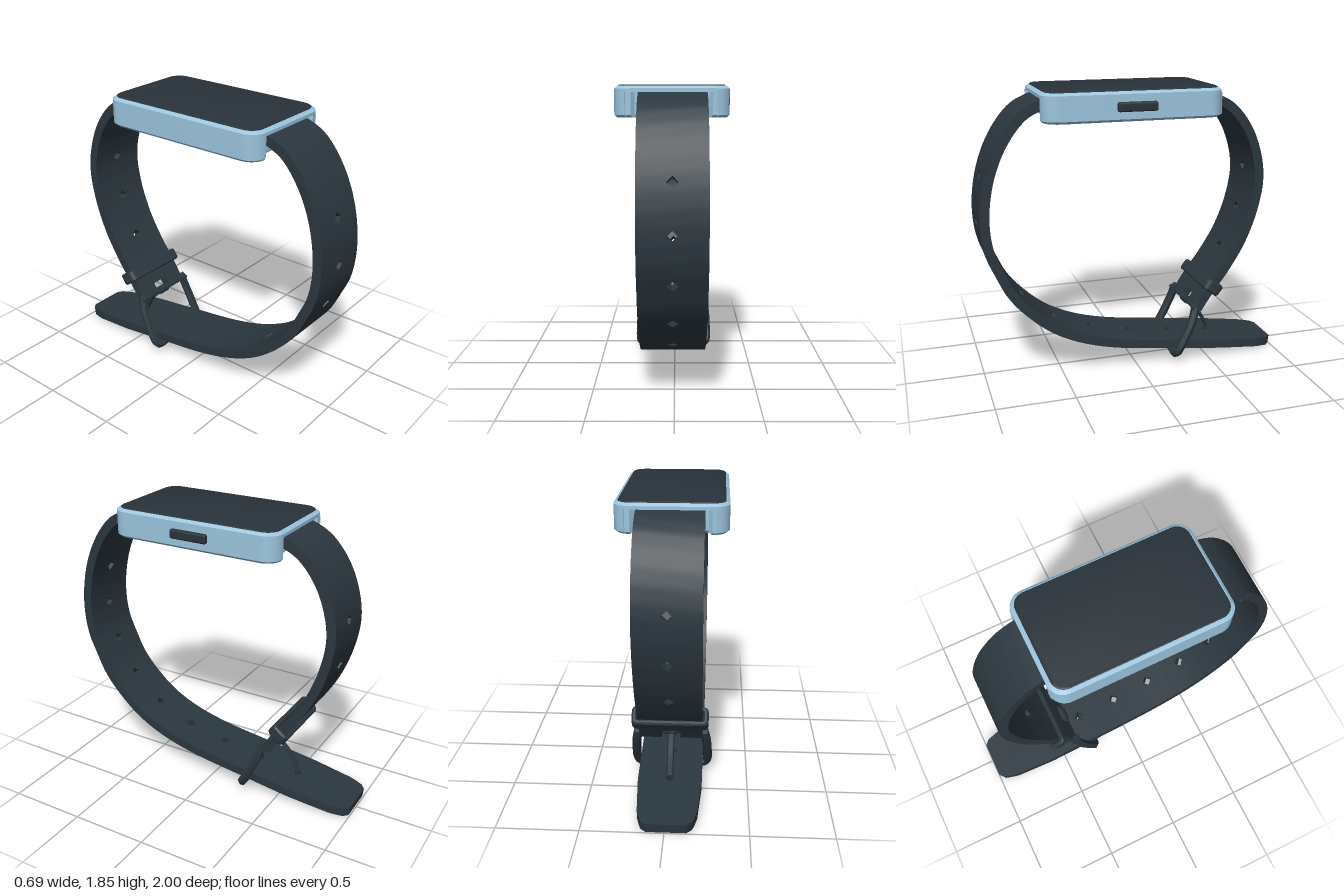
import * as THREE from 'three';
import { mergeGeometries, toCreasedNormals } from 'three/addons/utils/BufferGeometryUtils.js';
import { RoundedBoxGeometry } from 'three/addons/geometries/RoundedBoxGeometry.js';

const CX = -0.01;        // centre line of the strap
const THICK = 0.06;      // strap thickness
const caseMat = new THREE.MeshStandardMaterial({ color: 0x9cc5de });
const strapMat = new THREE.MeshStandardMaterial({ color: 0x2b373f, side: THREE.DoubleSide });
const screenMat = new THREE.MeshStandardMaterial({ color: 0x29323a });

function mesh(name, geometry, material) {
  const m = new THREE.Mesh(geometry, material);
  m.name = name;
  return m;
}

// Rounded rectangle; optional notch cut into both short ends for the strap
function roundedRect(w, h, r, notch = 0) {
  const s = new THREE.Shape(), x = w / 2, y = h / 2, H = Math.PI / 2;
  s.absarc(x - r, -y + r, r, -H, 0);
  s.absarc(x - r, y - r, r, 0, H);
  if (notch) [[0.27, y], [0.215, y - notch], [-0.215, y - notch], [-0.27, y]].forEach(p => s.lineTo(...p));
  s.absarc(-x + r, y - r, r, H, 2 * H);
  s.absarc(-x + r, -y + r, r, 2 * H, 3 * H);
  if (notch) [[-0.27, -y], [-0.215, -y + notch], [0.215, -y + notch], [0.27, -y]].forEach(p => s.lineTo(...p));
  s.closePath();
  return s;
}

// Stack a plan shape through height levels, drawing in the sides at each level
function stacked(shape, levels, insets, hw, hh) {
  const steps = levels.length - 1;
  const g = new THREE.ExtrudeGeometry(shape, { depth: steps, steps, bevelEnabled: false, curveSegments: 4 });
  const p = g.attributes.position;
  for (let i = 0; i < p.count; i++) {
    const k = Math.round(p.getZ(i));
    p.setXYZ(i, p.getX(i) * (1 - insets[k] / hw), levels[k], -p.getY(i) * (1 - insets[k] / hh));
  }
  return toCreasedNormals(g, 0.6);
}

// Strap centre line given as [z, y] pairs
const pathOf = pts => new THREE.CatmullRomCurve3(pts.map(([z, y]) => new THREE.Vector3(CX, y, z)), false, 'centripetal');

// Local frame on a path: x across, y along, z through the strap
function frameAt(path, u) {
  const t = path.getTangentAt(u), x = new THREE.Vector3(1, 0, 0);
  return new THREE.Matrix4().makeBasis(x, t, new THREE.Vector3().crossVectors(x, t)).setPosition(path.getPointAt(u));
}

// Strap made of short plates bent along the path; some carry a hole, the last may be forked
function strap(path, count, holes, halfWidth, forked) {
  const length = path.getLength(), step = length / count, plates = [];
  for (let i = 0; i < count; i++) {
    const right = [0, 0.35, 0.7, 1].map(f => {
      const u = (i + f) / count;
      return new THREE.Vector2(halfWidth(u), u * length);
    });
    const left = right.map(p => new THREE.Vector2(-p.x, p.y)).reverse();
    const end = (i + 1) * step, fork = [];
    if (forked && i === count - 1) {
      for (const [x, d] of [[0.06, 0], [0.06, 0.08], [-0.06, 0.08], [-0.06, 0]]) fork.push(new THREE.Vector2(x, end - d));
    }
    const shape = new THREE.Shape([...right, ...fork, ...left]);
    if (holes.includes(i)) {
      const c = (i + 0.5) * step, r = 0.034;
      shape.holes.push(new THREE.Path([[r, 0], [0, -r], [-r, 0], [0, r]].map(([x, y]) => new THREE.Vector2(x, c + y))));
    }
    plates.push(new THREE.ExtrudeGeometry(shape, { depth: THICK, bevelEnabled: false }));
  }
  const g = mergeGeometries(plates), p = g.attributes.position, v = new THREE.Vector3();
  for (let i = 0; i < p.count; i++) {
    const u = THREE.MathUtils.clamp(p.getY(i) / length, 0, 1);
    v.set(p.getX(i), 0, p.getZ(i) - THICK / 2).applyMatrix4(frameAt(path, u));
    p.setXYZ(i, v.x, v.y, v.z);
  }
  return toCreasedNormals(g, 0.6);
}

// Width of the long strap, narrowing to a blunt tip
function tipWidth(u) {
  const k = [[0, 0.2], [0.88, 0.2], [0.965, 0.18], [0.991, 0.155], [1, 0.12]];
  const i = Math.max(1, k.findIndex(e => u <= e[0] + 1e-6));
  return THREE.MathUtils.mapLinear(u, k[i - 1][0], k[i][0], k[i - 1][1], k[i][1]);
}

export function createModel() {
  const model = new THREE.Group();
  model.name = 'wristwatch';

  // Case: notched lower body, closed upper rim, screen and side button
  const body = new THREE.Group();
  body.name = 'case';
  body.position.set(-0.015, 0, 0.05);
  const W = 0.67, L = 1.14;
  body.add(mesh('caseLower', stacked(roundedRect(W, L, 0.1, 0.06), [1.67, 1.685, 1.815], [0.015, 0, 0], W / 2, L / 2), caseMat));
  body.add(mesh('caseRim', stacked(roundedRect(W, L, 0.1), [1.815, 1.835, 1.85], [0, 0, 0.018], W / 2, L / 2), caseMat));
  body.add(mesh('screen', stacked(roundedRect(0.625, 1.09, 0.08), [1.84, 1.852, 1.857], [0, 0, 0.006], 0.31, 0.545), screenMat));
  const button = mesh('sideButton', new RoundedBoxGeometry(0.05, 0.058, 0.25, 2, 0.012), screenMat);
  button.position.set(0.335, 1.76, 0);
  body.add(button);
  model.add(body);

  // Long strap with the adjustment holes
  const longPath = pathOf([[0.56, 1.785], [0.62, 1.765], [0.72, 1.71], [0.84, 1.56], [0.93, 1.35], [0.97, 1.1], [0.95, 0.89], [0.89, 0.74],
    [0.82, 0.6], [0.71, 0.47], [0.56, 0.345], [0.38, 0.255], [0.15, 0.19], [-0.3, 0.125], [-0.995, 0.036]]);
  model.add(mesh('longStrap', strap(longPath, 35, [6, 9, 12, 15, 18, 21, 24, 27, 30], tipWidth, false), strapMat));

  // Short strap, forked at the buckle
  const shortPath = pathOf([[-0.46, 1.785], [-0.52, 1.765], [-0.62, 1.71], [-0.73, 1.58], [-0.8, 1.42], [-0.83, 1.24],
    [-0.8, 1.04], [-0.72, 0.82], [-0.6, 0.62], [-0.51, 0.5], [-0.41, 0.35]]);
  model.add(mesh('shortStrap', strap(shortPath, 17, [6, 9, 12], () => 0.2, true), strapMat));

  // Keeper loop around the short strap
  const ring = roundedRect(0.475, 0.13, 0.035);
  ring.holes.push(roundedRect(0.41, 0.062, 0.01));
  const keeperGeo = new THREE.ExtrudeGeometry(ring, { depth: 0.06, bevelSize: 0.01, bevelOffset: -0.01, bevelThickness: 0.01, bevelSegments: 1, curveSegments: 3 });
  keeperGeo.translate(0, 0, -0.03).rotateX(Math.PI / 2).applyMatrix4(frameAt(shortPath, 0.885));
  model.add(mesh('keeperLoop', toCreasedNormals(keeperGeo, 0.6), strapMat));

  // Buckle: U-shaped frame, hinge bar and prong
  const buckle = new THREE.Group();
  buckle.name = 'buckle';
  buckle.position.x = CX;
  const side = [[0.205, 0.385, -0.4], [0.222, 0.3, -0.375], [0.23, 0.2, -0.33], [0.222, 0.075, -0.265], [0.19, 0.065, -0.26]];
  const framePts = [...side, [0, 0.08, -0.265], ...side.map(([x, y, z]) => [-x, y, z]).reverse()];
  const frameCurve = new THREE.CatmullRomCurve3(framePts.map(p => new THREE.Vector3(...p)), false, 'centripetal');
  buckle.add(mesh('buckleFrame', toCreasedNormals(new THREE.TubeGeometry(frameCurve, 48, 0.029, 6), 0.7), strapMat));
  for (const s of [-1, 1]) {
    const cap = mesh('buckleEnd', new THREE.BoxGeometry(0.045, 0.05, 0.05), strapMat);
    cap.position.set(s * 0.207, 0.375, -0.4);
    cap.rotation.x = 0.4;
    buckle.add(cap);
  }
  const bar = mesh('hingeBar', new THREE.CylinderGeometry(0.018, 0.018, 0.42, 8).rotateZ(Math.PI / 2), strapMat);
  bar.position.set(0, 0.37, -0.405);
  buckle.add(bar);
  const prongCurve = new THREE.CatmullRomCurve3([[0.365, -0.405], [0.32, -0.45], [0.26, -0.505], [0.14, -0.57]].map(([y, z]) => new THREE.Vector3(0, y, z)));
  const prong = mesh('prong', new THREE.TubeGeometry(prongCurve, 8, 0.012, 6).scale(1.8, 1, 1), strapMat);
  buckle.add(prong);
  const knuckle = mesh('prongKnuckle', new THREE.CylinderGeometry(0.028, 0.028, 0.08, 8).rotateZ(Math.PI / 2), strapMat);
  knuckle.position.copy(bar.position);
  buckle.add(knuckle);
  model.add(buckle);

  return model;
}
